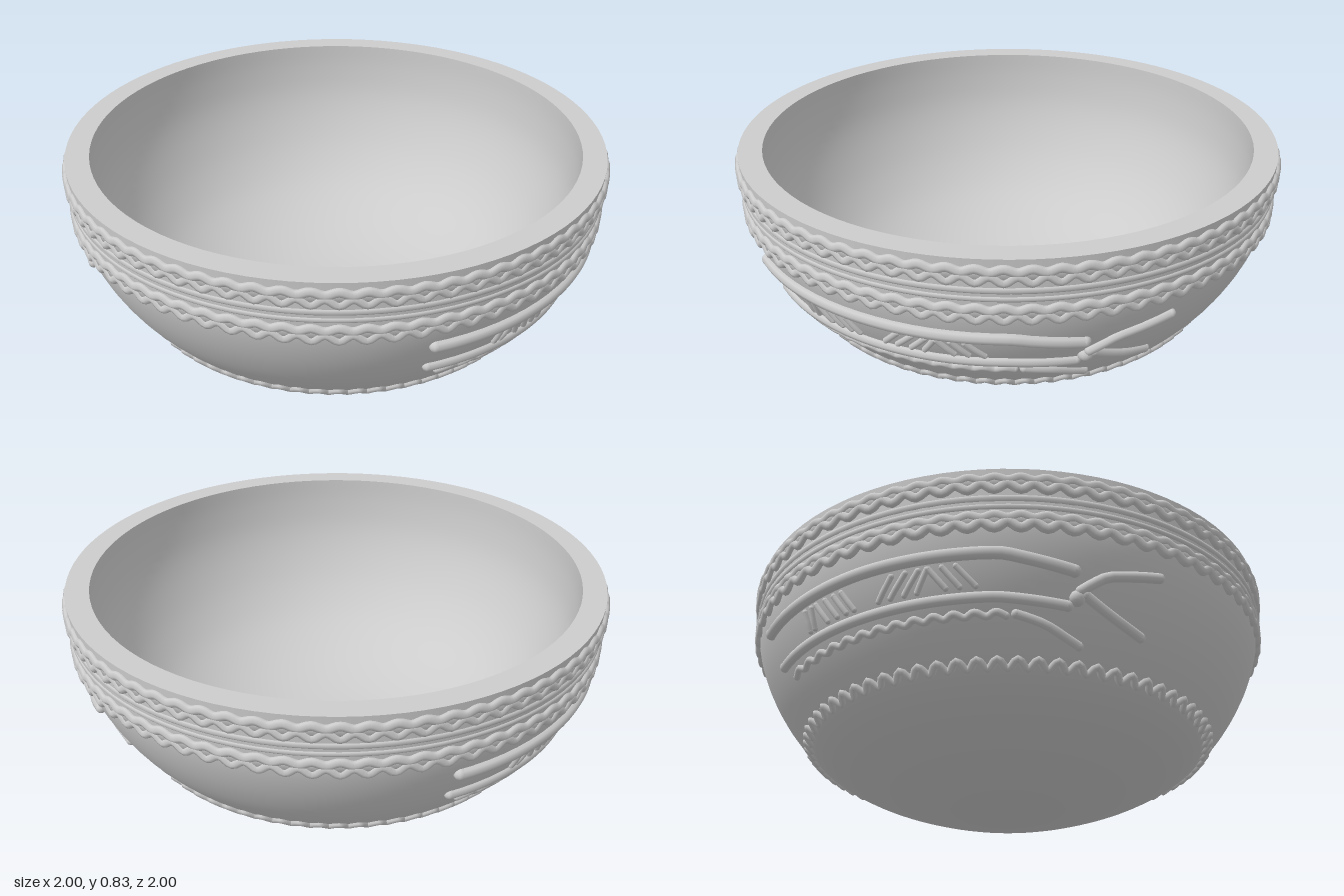
import * as THREE from 'three';

const material = new THREE.MeshStandardMaterial({ color: 0xcccccc, side: THREE.DoubleSide });

// Half-sections of the bowl as [radius, height]
const OUTER = [[0, 0], [0.1, 0.003], [0.22, 0.018], [0.38, 0.055], [0.55, 0.117], [0.66, 0.172],
  [0.735, 0.225], [0.8, 0.292], [0.86, 0.37], [0.91, 0.455], [0.945, 0.535], [0.967, 0.61],
  [0.976, 0.68], [0.982, 0.76], [0.986, 0.835]];
const INNER = [[0.9, 0.835], [0.895, 0.74], [0.875, 0.62], [0.83, 0.5], [0.76, 0.38], [0.66, 0.27],
  [0.52, 0.18], [0.36, 0.12], [0.2, 0.092], [0, 0.085]];

// Outer radius of the bowl at a height
function radiusAt(y) {
  const i = Math.max(1, OUTER.findIndex((p) => p[1] >= y));
  const [a, b] = [OUTER[i - 1], OUTER[i]];
  return THREE.MathUtils.mapLinear(y, a[1], b[1], a[0], b[0]);
}

function addMesh(parent, name, geometry) {
  const mesh = new THREE.Mesh(geometry, material);
  mesh.name = name;
  parent.add(mesh);
  return mesh;
}

function addLathe(parent, name, profile, smooth = 0) {
  let pts = profile.map(([r, y]) => new THREE.Vector2(r, y));
  if (smooth) pts = new THREE.SplineCurve(pts).getPoints(smooth);
  pts.forEach((p) => { p.x = Math.max(p.x, 0); p.y = Math.max(p.y, 0); });
  return addMesh(parent, name, new THREE.LatheGeometry(pts, 96));
}

// Closed cord running round the bowl, waving up and down
function addCord(parent, name, { y, r, thick, amp = 0, waves = 0, phase = 0 }) {
  const steps = waves ? waves * 8 : 120;
  const pts = [];
  for (let i = 0; i < steps; i++) {
    const a = (i / steps) * Math.PI * 2;
    const w = Math.sin(a * waves + phase);
    pts.push(new THREE.Vector3(Math.sin(a) * r, y + amp * w, Math.cos(a) * r));
  }
  // Lower cord follows the slope of the wall
  if (!r) pts.forEach((p, i) => {
    const a = (i / steps) * Math.PI * 2, rr = radiusAt(p.y) + 0.003;
    p.set(Math.sin(a) * rr, p.y, Math.cos(a) * rr);
  });
  const curve = new THREE.CatmullRomCurve3(pts, true);
  curve.arcLengthDivisions = steps * 4;
  addMesh(parent, name, new THREE.TubeGeometry(curve, steps, thick, 7, true));
}

// Point on the +x wall for a given z and y
function onWall(z, y, lift = 0) {
  const r = radiusAt(y) + lift;
  return new THREE.Vector3(Math.sqrt(r * r - z * z), y, z);
}

// Rounded clay strip laid on the wall through [z, y] points
function addStrip(parent, name, path, thick, wave = 0) {
  const line = new THREE.CurvePath();
  for (let i = 1; i < path.length; i++) {
    line.add(new THREE.LineCurve(new THREE.Vector2(...path[i - 1]), new THREE.Vector2(...path[i])));
  }
  const n = Math.max(3, Math.ceil(line.getLength() / (wave ? 0.012 : 0.05)));
  const pts = [];
  for (let i = 0; i <= n; i++) {
    const p = line.getPoint(i / n);
    pts.push(onWall(p.x, p.y + wave * Math.sin(p.x * 95), 0.003));
  }
  const strip = new THREE.Group();
  strip.name = name;
  addMesh(strip, name + 'Body', new THREE.TubeGeometry(new THREE.CatmullRomCurve3(pts), n * 2, thick, 8));
  for (const end of [pts[0], pts[n]]) {
    addMesh(strip, name + 'End', new THREE.SphereGeometry(thick, 10, 8)).position.copy(end);
  }
  parent.add(strip);
}

// Relief of bars, hatching and a forked tail
function createMotif() {
  const g = new THREE.Group();
  addStrip(g, 'upperBar', [[0.61, 0.537], [0.1, 0.54], [-0.36, 0.537], [-0.56, 0.495]], 0.022);
  addStrip(g, 'lowerBar', [[0.57, 0.415], [0.1, 0.412], [-0.33, 0.412], [-0.52, 0.395]], 0.019);
  addStrip(g, 'wavyStrip', [[0.51, 0.368], [-0.34, 0.365]], 0.013, 0.006);
  addStrip(g, 'lowerFork', [[-0.37, 0.365], [-0.44, 0.345], [-0.52, 0.295]], 0.016);
  addStrip(g, 'upperTail', [[-0.565, 0.44], [-0.64, 0.49], [-0.78, 0.53]], 0.018);
  addStrip(g, 'lowerTail', [[-0.575, 0.43], [-0.63, 0.385], [-0.69, 0.35]], 0.018);
  const knot = addMesh(g, 'knot', new THREE.SphereGeometry(0.027, 14, 10));
  knot.position.copy(onWall(-0.55, 0.42));
  // Each hatch runs from its top z to its bottom z
  const hatches = [[0.38, 0.37], [0.345, 0.345], [0.32, 0.28], [0.275, 0.235], [0.235, 0.195], [0.2, 0.16],
    [0, 0.06], [-0.05, 0.015], [-0.095, -0.035], [-0.125, -0.08],
    [-0.13, -0.175], [-0.175, -0.22], [-0.22, -0.27]];
  for (const [top, bottom] of hatches) addStrip(g, 'hatch', [[top, 0.505], [bottom, 0.443]], 0.0105);
  return g;
}

export function createModel() {
  const model = new THREE.Group();
  model.name = 'bowl';

  // Bowl shell
  addLathe(model, 'outerWall', OUTER, 48);
  addLathe(model, 'rim', [[0.986, 0.835], [0.9, 0.835]]);
  addLathe(model, 'innerWall', INNER, 36);

  // Two braided bands under the rim
  for (const [name, y, r] of [['upperBraid', 0.782, 0.981], ['lowerBraid', 0.643, 0.971]]) {
    const braid = new THREE.Group();
    braid.name = name;
    addLathe(braid, 'braidBacking', [[r - 0.015, y - 0.026], [r + 0.011, y - 0.016], [r + 0.011, y + 0.02], [r - 0.008, y + 0.03]]);
    addCord(braid, 'braidTopCord', { y: y + 0.014, r, thick: 0.018, amp: 0.006, waves: 72 });
    addCord(braid, 'braidBottomCord', { y: y - 0.016, r, thick: 0.017, amp: 0.011, waves: 72, phase: Math.PI });
    model.add(braid);
  }

  // Plain cords between the braids
  addCord(model, 'plainCord', { y: 0.725, r: 0.972, thick: 0.014 });
  addCord(model, 'thinCord', { y: 0.694, r: 0.972, thick: 0.011 });

  // Wavy cord low on the wall
  addCord(model, 'baseCord', { y: 0.242, r: 0, thick: 0.014, amp: 0.012, waves: 72 });

  // Same relief on both sides, half a turn apart
  for (const [name, turn] of [['leftMotif', 0], ['rightMotif', Math.PI]]) {
    const motif = createMotif();
    motif.name = name;
    motif.rotation.y = turn;
    model.add(motif);
  }
  return model;
}
